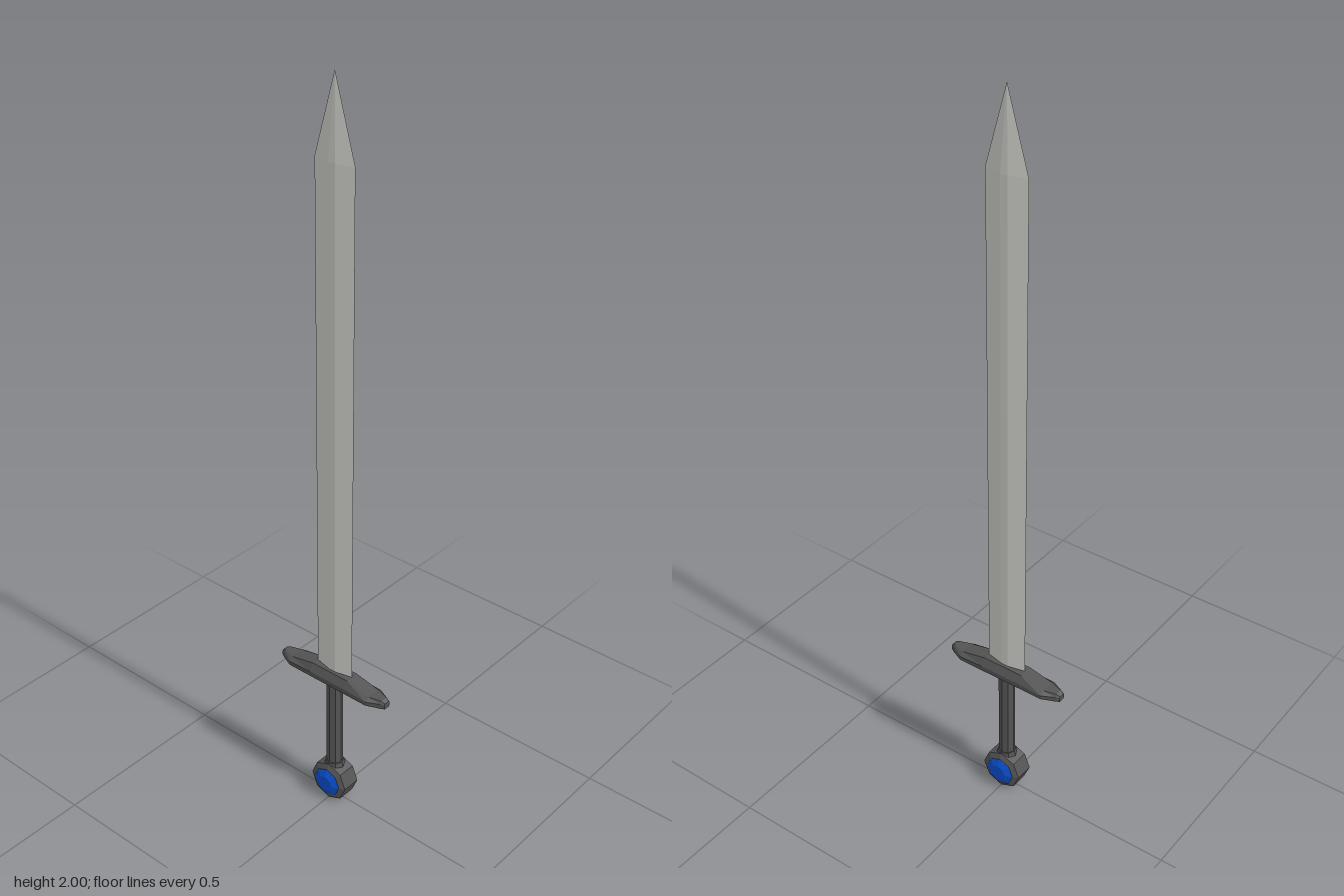
import * as THREE from 'three';

// Closed solid through rings of [x, y] points (anticlockwise) placed along z
function loft(rings) {
  const pos = [];
  const n = rings[0].pts.length;
  const put = (r, j) => pos.push(...rings[r].pts[j % n], rings[r].z);
  for (let r = 0; r < rings.length - 1; r++) {
    for (let j = 0; j < n; j++) {
      put(r, j); put(r, j + 1); put(r + 1, j + 1);
      put(r, j); put(r + 1, j + 1); put(r + 1, j);
    }
  }
  const last = rings.length - 1;
  for (let j = 1; j < n - 1; j++) {
    put(0, 0); put(0, j + 1); put(0, j);
    put(last, 0); put(last, j); put(last, j + 1);
  }
  const g = new THREE.BufferGeometry();
  g.setAttribute('position', new THREE.Float32BufferAttribute(pos, 3));
  g.computeVertexNormals();
  return g;
}

export function createModel() {
  const group = new THREE.Group();
  const material = (name, color) => {
    const m = new THREE.MeshStandardMaterial({ color, flatShading: true });
    m.name = name;
    return m;
  };
  const steel = material('pale steel', 0xcfcfc9);
  const iron = material('dark iron', 0x545454);
  const blue = material('blue gem', 0x0a50d2);

  const add = (name, geometry, mat, y = 0) => {
    const mesh = new THREE.Mesh(geometry, mat);
    mesh.name = name;
    mesh.position.y = y;
    group.add(mesh);
    return mesh;
  };

  // Blade: thin lens section, tapering to a point
  const bladeRing = (z, s) => ({
    z,
    pts: [[0.011, -0.01], [0.011, 0.01], [0, 0.058], [-0.011, 0.01], [-0.011, -0.01], [0, -0.058]]
      .map(([x, y]) => [x * s, y * s]),
  });
  const blade = loft([bladeRing(0.41, 1), bladeRing(1.8, 1), bladeRing(2, 0.005)]);
  blade.rotateX(-Math.PI / 2);
  add('blade', blade, steel);

  // Crossguard: chamfered bar, mirrored about its middle
  const guardRing = (z, wide, flat, bottom, low, high, top) => ({
    z,
    pts: [[flat, bottom], [wide, low], [wide, high], [flat, top],
      [-flat, top], [-wide, high], [-wide, low], [-flat, bottom]],
  });
  const half = [
    [0.058, 0.032, 0.02, 0.384, 0.39, 0.404, 0.425],
    [0.13, 0.032, 0.02, 0.384, 0.39, 0.401, 0.41],
    [0.165, 0.015, 0.01, 0.384, 0.388, 0.402, 0.409],
    [0.175, 0.01, 0.008, 0.387, 0.39, 0.401, 0.404],
  ];
  const mirrored = half.map(([z, ...rest]) => [-z, ...rest]).reverse();
  add('crossguard', loft([...mirrored, ...half].map((r) => guardRing(...r))), iron);

  // Grip and the collar at its foot
  add('grip', new THREE.CylinderGeometry(0.022, 0.022, 0.29, 8), iron, 0.245);
  add('collar', new THREE.CylinderGeometry(0.025, 0.029, 0.018, 8), iron, 0.111);

  // Pommel: eight-sided wheel with its axis across the sword
  const wheel = (points) => new THREE.LatheGeometry(
    points.map(([r, y]) => new THREE.Vector2(r, y)), 8).rotateZ(-Math.PI / 2);
  add('pommel', wheel([[0, -0.033], [0.045, -0.033], [0.058, -0.026],
    [0.058, 0.026], [0.045, 0.033], [0, 0.033]]), iron, 0.058);

  // Faceted gem on each face of the pommel
  for (const side of [1, -1]) {
    const gem = add(side > 0 ? 'gemLeft' : 'gemRight',
      wheel([[0.043, 0.031], [0.041, 0.034], [0.023, 0.042], [0, 0.042]]), blue, 0.058);
    if (side < 0) gem.rotation.y = Math.PI;
  }
  return group;
}
